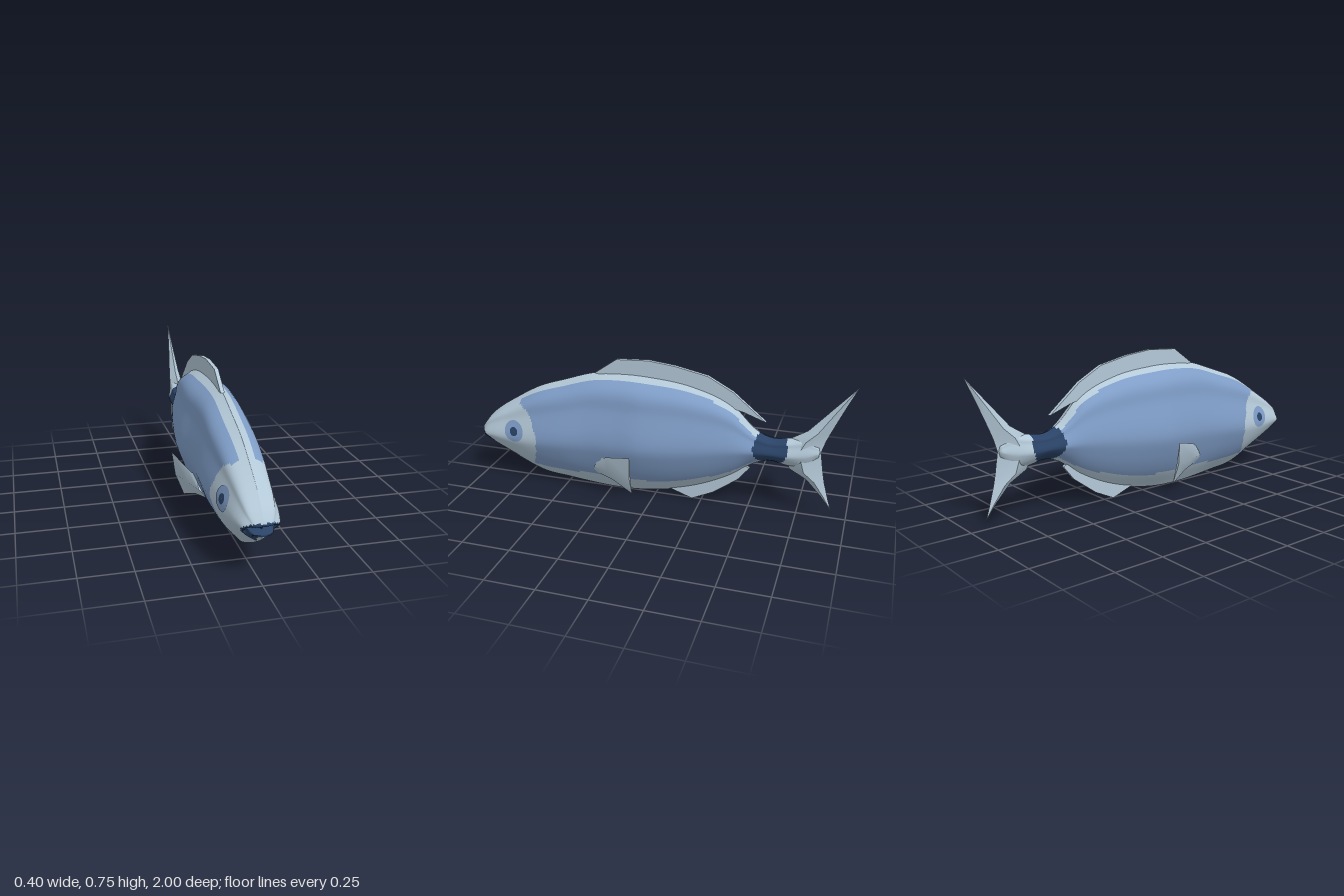
import * as THREE from 'three';
import { toCreasedNormals } from 'three/addons/utils/BufferGeometryUtils.js';

const V = (x, y, z) => new THREE.Vector3(x, y, z);

const pale = new THREE.MeshStandardMaterial({ color: 0xb4c9d8 });
const blue = new THREE.MeshStandardMaterial({ color: 0x7f9dc7 });
const navy = new THREE.MeshStandardMaterial({ color: 0x2a4367 });
pale.name = 'pale silver';
blue.name = 'flank blue';
navy.name = 'navy';

// Interpolated table: rows of [key, value, value...], keys ascending
function table(rows, Kind = THREE.CubicInterpolant) {
  const size = rows[0].length - 1;
  const it = new Kind(rows.map(r => r[0]), rows.flatMap(r => r.slice(1)), size);
  return k => Array.from(it.evaluate(THREE.MathUtils.clamp(k, rows[0][0], rows[rows.length - 1][0])));
}

// Body sections: z, bottom, top, half width
const section = table([
  [-0.84, 0.33, 0.39, 0.02], [-0.78, 0.27, 0.43, 0.04], [-0.7, 0.265, 0.42, 0.055],
  [-0.6, 0.28, 0.41, 0.063], [-0.52, 0.255, 0.445, 0.073], [-0.4, 0.165, 0.56, 0.1],
  [-0.2, 0.07, 0.64, 0.137], [0.05, 0.013, 0.67, 0.163], [0.2, 0.003, 0.67, 0.15],
  [0.33, 0.008, 0.655, 0.143], [0.5, 0.024, 0.6, 0.145], [0.65, 0.042, 0.545, 0.135],
  [0.8, 0.105, 0.458, 0.116], [0.9, 0.16, 0.39, 0.1], [0.96, 0.197, 0.335, 0.08],
  [0.985, 0.215, 0.3, 0.06],
]);
// Outline of one side of a section: height fraction, width fraction
const side = table([[0, 0], [0.16, 0.52], [0.36, 0.9], [0.46, 1], [0.74, 0.77], [0.9, 0.58], [1, 0]]);
// Colour borders: gill edge z by y, belly edge y by z
const gill = table([[0, 0.72], [0.12, 0.68], [0.2, 0.64], [0.3, 0.625], [0.38, 0.66], [0.43, 0.69],
  [0.46, 0.745], [0.5, 0.755]], THREE.LinearInterpolant);
const belly = table([[-0.55, 0.29], [-0.4, 0.2], [-0.25, 0.15], [-0.1, 0.11], [0.2, 0.095], [0.6, 0.1]],
  THREE.LinearInterpolant);

function bodyX(z, y) {
  const [bottom, top, width] = section(z);
  return width * side((y - bottom) / (top - bottom))[0];
}

const mouthY = z => 0.255 - (0.985 - Math.min(z, 0.985)) * 0.75;

// 0 pale, 1 blue, 2 navy
function colourAt({ x, y, z }) {
  if (((z + 0.605) / 0.085) ** 2 + ((y - 0.365) / 0.1) ** 2 < 1) return 2;
  if (z > 0.91 && Math.abs(y - mouthY(z)) < 0.03) return 2;
  const back = y > 0.4 && Math.abs(x) < 0.04;
  return z > -0.56 && z < gill(y)[0] && y > belly(z)[0] && !back ? 1 : 0;
}

// Skins rings of equal point count; pick() sorts the quads into material groups
function loft(rings, pick = () => 0) {
  const n = rings[0].length, groups = [[], [], []];
  for (let i = 0; i < rings.length - 1; i++) {
    for (let j = 0; j < n; j++) {
      const k = (j + 1) % n;
      const mid = rings[i][j].clone().add(rings[i + 1][k]).multiplyScalar(0.5);
      const a = i * n + j, b = i * n + k, c = a + n, d = b + n;
      groups[pick(mid)].push(a, b, d, a, d, c);
    }
  }
  const geo = new THREE.BufferGeometry().setFromPoints(rings.flat());
  geo.setIndex(groups.flat());
  let start = 0;
  groups.forEach((g, m) => { geo.addGroup(start, g.length, m); start += g.length; });
  return geo;
}

function makeBody() {
  const half = 44, rows = 220, rings = [];
  const ringAt = z => {
    const [bottom, top, width] = section(z), ring = [];
    for (let k = 0; k < 2 * half; k++) {
      const t = (1 - Math.cos(Math.PI * k / half)) / 2;
      ring.push(V((k < half ? 1 : -1) * width * side(t)[0], bottom + t * (top - bottom), z));
    }
    return ring;
  };
  rings.push(ringAt(-0.84).map(() => V(0, 0.36, -0.845)));
  for (let i = 0; i <= rows; i++) rings.push(ringAt(-0.84 + 1.825 * i / rows));
  // Rounded snout end
  for (let s = 0.85; s > -0.1; s -= 0.17) {
    const f = Math.max(s, 0);
    rings.push(ringAt(0.985).map(p => V(p.x * f, 0.25 + (p.y - 0.25) * f, 1 - 0.015 * f * f)));
  }
  const geo = loft(rings, colourAt);
  // Press the open mouth into the snout
  const pos = geo.attributes.position;
  for (let i = 0; i < pos.count; i++) {
    const z = pos.getZ(i), d = Math.abs(pos.getY(i) - mouthY(z)) / 0.018;
    if (z > 0.9 && d < 1) pos.setZ(i, z - 0.045 * (1 - d) * THREE.MathUtils.smoothstep(z, 0.92, 0.97));
  }
  geo.computeVertexNormals();
  return geo;
}

// Disc laid on the flank, slightly lifted
function eyeDisc(radius, lift, s) {
  const geo = new THREE.RingGeometry(0.0005, radius, 28, 5);
  const pos = geo.attributes.position;
  for (let i = 0; i < pos.count; i++) {
    const z = 0.765 - s * pos.getX(i), y = 0.312 + pos.getY(i);
    pos.setXYZ(i, s * (bodyX(z, y) + lift), y, z);
  }
  geo.computeVertexNormals();
  return geo;
}

// Flat upright fin from [z, y] outline points
function uprightFin(points, thickness) {
  const shape = new THREE.Shape(points.map(([z, y]) => new THREE.Vector2(-z, y)));
  const geo = new THREE.ExtrudeGeometry(shape, { depth: thickness, bevelEnabled: false });
  return geo.translate(0, 0, -thickness / 2).rotateY(Math.PI / 2);
}

function makeTail() {
  // y, front z, back z, half thickness
  const rows = [[0.05, -0.92, -0.921, 0.001], [0.12, -0.865, -0.9, 0.009], [0.2, -0.79, -0.878, 0.02],
    [0.25, -0.7, -0.868, 0.03], [0.36, -0.66, -0.85, 0.04], [0.42, -0.7, -0.868, 0.036],
    [0.47, -0.78, -0.888, 0.028], [0.59, -0.885, -0.94, 0.014], [0.72, -0.999, -1, 0.001]];
  const rings = rows.map(([y, f, b, t]) => {
    const m = f + (b - f) * 0.45;
    return [V(0, y, f), V(-t, y, m), V(0, y, b), V(t, y, m)];
  });
  rings.unshift(rings[0].map(() => V(0, 0.05, -0.92)));
  rings.push(rings[rings.length - 1].map(() => V(0, 0.72, -1)));
  // Order the rings so the skin faces outward
  return toCreasedNormals(loft(rings.map(r => r.slice().reverse())), 0.7);
}

function makePectoral(s) {
  // lower edge point, upper edge point, half thickness
  const rows = [
    [V(0.07, 0.12, 0.33), V(0.115, 0.22, 0.28), 0.012],
    [V(0.105, 0.1, 0.21), V(0.155, 0.252, 0.22), 0.012],
    [V(0.14, 0.052, 0.09), V(0.2, 0.288, 0.082), 0.006],
  ];
  const normal = V(0.95, -0.2, 0.3).normalize();
  const rings = rows.map(([a, b, t]) => {
    const m = a.clone().lerp(b, 0.5).addScaledVector(normal, 0.01);
    return [a, m.clone().addScaledVector(normal, t), b, m.clone().addScaledVector(normal, -t)];
  });
  const flat = r => r.map(() => r.reduce((c, p) => c.add(p), V(0, 0, 0)).multiplyScalar(0.25));
  rings.unshift(flat(rings[0]));
  rings.push(flat(rings[rings.length - 1]));
  const out = rings.map(r => r.map(p => V(s * p.x, p.y, p.z)));
  return toCreasedNormals(loft(s > 0 ? out.map(r => r.reverse()) : out), 0.8);
}

export function createModel() {
  const model = new THREE.Group();
  model.name = 'fish';
  const add = (name, geo, mat) => {
    const mesh = new THREE.Mesh(geo, mat);
    mesh.name = name;
    model.add(mesh);
  };

  add('body', makeBody(), [pale, blue, navy]);

  const tail = makeTail();
  tail.clearGroups();
  add('tailFin', tail, pale);

  add('dorsalFin', uprightFin([[0.33, 0.655], [0.21, 0.74], [0.04, 0.75], [-0.1, 0.735], [-0.27, 0.7],
    [-0.4, 0.63], [-0.57, 0.49], [-0.46, 0.53], [-0.38, 0.55], [-0.2, 0.61], [0.1, 0.63]], 0.02), pale);
  add('analFin', uprightFin([[-0.08, 0.045], [-0.2, 0.003], [-0.31, 0.055], [-0.44, 0.15], [-0.5, 0.225],
    [-0.45, 0.25], [-0.3, 0.15], [-0.15, 0.08]], 0.016), pale);

  for (const [label, s] of [['left', 1], ['right', -1]]) {
    const fin = makePectoral(s);
    fin.clearGroups();
    add(label + 'PectoralFin', fin, pale);
    add(label + 'Eye', eyeDisc(0.058, 0.003, s), blue);
    add(label + 'Pupil', eyeDisc(0.024, 0.005, s), navy);
  }
  return model;
}
